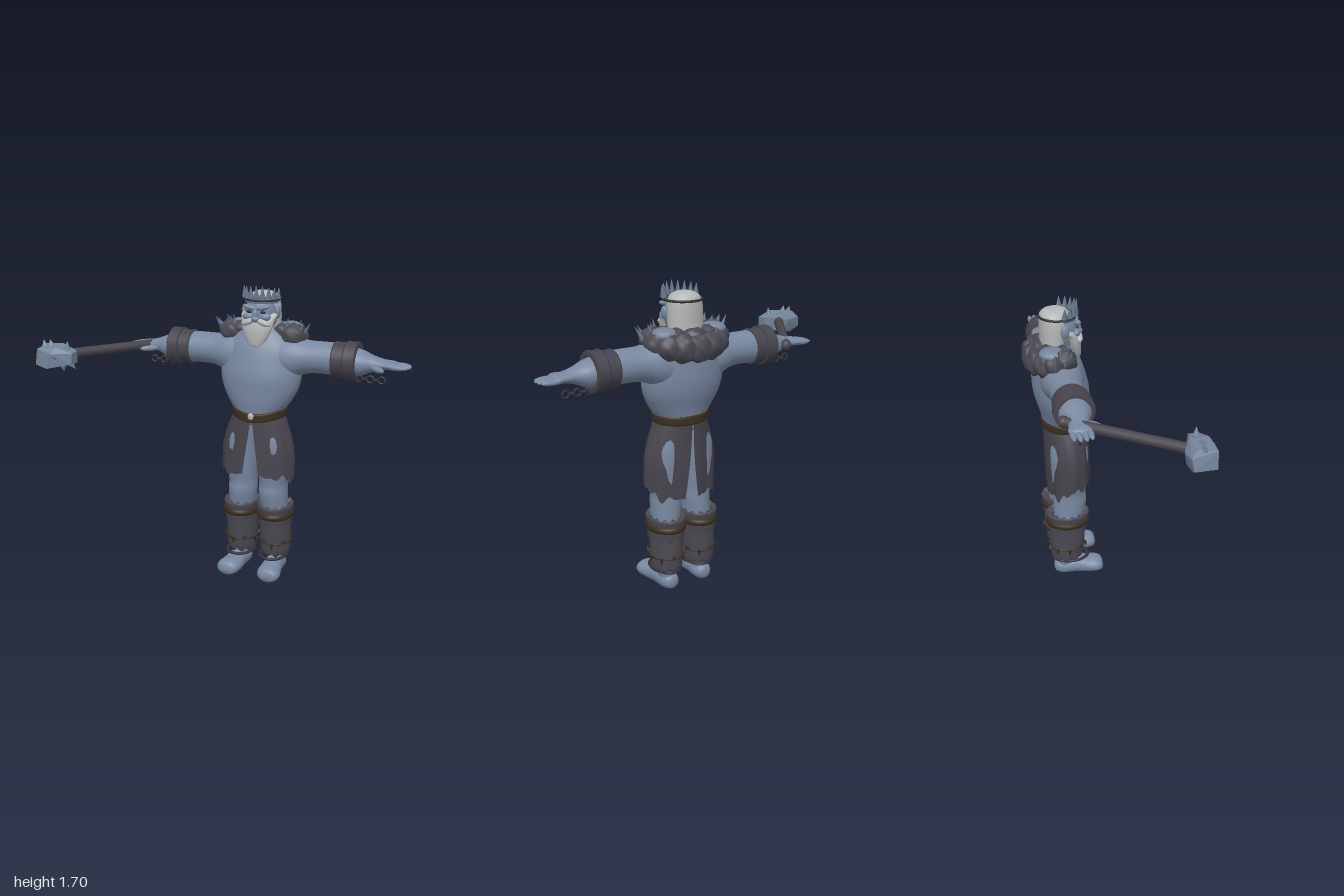
import * as THREE from 'three';
import { ConvexGeometry } from 'three/addons/geometries/ConvexGeometry.js';

const mat = (name, color, side = THREE.FrontSide) => {
  const m = new THREE.MeshStandardMaterial({ color, side });
  m.name = name;
  return m;
};
const V = (x, y, z) => new THREE.Vector3(x, y, z);

// Surface grid from fn(u, v); wrap joins the last column to the first
function grid(nu, nv, fn, wrap) {
  const cols = wrap ? nu : nu + 1, pos = [], idx = [];
  for (let j = 0; j <= nv; j++)
    for (let i = 0; i < cols; i++) pos.push(...fn(i / nu, j / nv).toArray());
  for (let j = 0; j < nv; j++)
    for (let i = 0; i < nu; i++) {
      const a = j * cols + i, b = j * cols + ((i + 1) % cols);
      idx.push(a, a + cols, b, b, a + cols, b + cols);
    }
  const g = new THREE.BufferGeometry();
  g.setAttribute('position', new THREE.Float32BufferAttribute(pos, 3));
  g.setIndex(idx);
  g.computeVertexNormals();
  return g;
}

// Smooth loft through ellipses [along, centreA, centreB, radiusA, radiusB], listed in ascending order
function loft(axis, rows, nu = 28, warp = null) {
  const c = new THREE.CatmullRomCurve3(rows.map(r => V(r[0], r[1], r[2])), false, 'catmullrom');
  const s = new THREE.CatmullRomCurve3(rows.map(r => V(r[3], r[4], 0)), false, 'catmullrom');
  return grid(nu, (rows.length - 1) * 4, (u, v) => {
    const a = u * Math.PI * 2, p = c.getPoint(v), r = s.getPoint(v), C = Math.cos(a), S = Math.sin(a);
    const q = axis === 'y' ? V(p.y + r.x * C, p.x, p.z + r.y * S)
      : axis === 'x' ? V(p.x, p.y + r.x * S, p.z + r.y * C)
      : V(p.y + r.x * S, p.z + r.y * C, p.x);
    if (warp) warp(q, a, v);
    return q;
  }, true);
}

export function createModel() {
  const skin = mat('skin', 0x7888a0), cloth = mat('dark cloth', 0x47444d, THREE.DoubleSide);
  const fur = mat('dark fur', 0x4a4952, THREE.DoubleSide), hairMat = mat('pale hair', 0xb4b6b5);
  const leather = mat('brown leather', 0x3b2e1e, THREE.DoubleSide), iron = mat('dark iron', 0x35333a);
  const stone = mat('blue grey stone', 0x74849a), horn = mat('grey spikes', 0x66758a, THREE.DoubleSide);
  stone.flatShading = true;

  const model = new THREE.Group();
  const body = new THREE.Group();
  body.name = 'giant';
  body.position.x = 0.16;
  model.add(body);
  const add = (parent, name, geo, material, pos) => {
    const m = new THREE.Mesh(geo, material);
    m.name = name;
    if (pos) m.position.set(...pos);
    parent.add(m);
    return m;
  };
  const ball = (parent, name, material, pos, scale) => {
    const m = add(parent, name, new THREE.SphereGeometry(1, 18, 12), material, pos);
    m.scale.set(...scale);
    return m;
  };
  // Tapered rod or spike from a to b
  const rod = (parent, name, material, a, b, r0, r1, sides = 12) => {
    const m = add(parent, name, new THREE.CylinderGeometry(r1, r0, a.distanceTo(b), sides), material);
    m.position.copy(a).lerp(b, 0.5);
    m.quaternion.setFromUnitVectors(V(0, 1, 0), b.clone().sub(a).normalize());
    return m;
  };

  // Torso
  add(body, 'torso', loft('y', [
    [0.90, 0, -0.155, 0, 0], [0.93, 0, -0.155, 0.13, 0.11], [1.0, 0, -0.155, 0.148, 0.128],
    [1.06, 0, -0.158, 0.187, 0.138], [1.13, 0, -0.168, 0.222, 0.15], [1.2, 0, -0.175, 0.236, 0.157],
    [1.28, 0, -0.185, 0.234, 0.15], [1.36, 0, -0.195, 0.222, 0.135], [1.42, 0, -0.2, 0.175, 0.11],
    [1.47, 0, -0.2, 0.1, 0.085], [1.5, 0, -0.19, 0, 0]], 40), skin);

  // Belt with a dip at the front, and its clasp
  add(body, 'belt', loft('y', [
    [0.965, 0, -0.155, 0.14, 0.12], [0.97, 0, -0.155, 0.156, 0.136], [0.99, 0, -0.155, 0.16, 0.138],
    [1.015, 0, -0.155, 0.158, 0.137], [1.02, 0, -0.155, 0.14, 0.12]], 40,
    (q, a) => { q.y -= 0.02 * Math.max(0, Math.sin(a)) ** 3; }), leather);
  ball(body, 'beltClasp', hairMat, [0, 0.985, -0.018], [0.018, 0.02, 0.012]);

  for (const side of [1, -1]) {
    const half = new THREE.Group();
    half.name = side > 0 ? 'leftSide' : 'rightSide';
    half.scale.x = side;
    body.add(half);

    // Arm, palm, fingers and thumb
    add(half, 'arm', loft('x', [
      [0.06, 1.29, -0.19, 0.13, 0.12], [0.18, 1.305, -0.19, 0.118, 0.115], [0.27, 1.315, -0.19, 0.092, 0.098],
      [0.36, 1.318, -0.19, 0.088, 0.092], [0.46, 1.315, -0.19, 0.088, 0.092], [0.57, 1.31, -0.19, 0.07, 0.083],
      [0.63, 1.31, -0.19, 0.046, 0.058], [0.69, 1.31, -0.193, 0.028, 0.054], [0.75, 1.31, -0.195, 0.02, 0.06],
      [0.775, 1.31, -0.195, 0, 0]]), skin);
    [-0.044, -0.015, 0.015, 0.044].forEach((dz, i) =>
      ball(half, 'finger', skin, [0.765 + [0, 0.01, 0.012, 0][i], 1.305, -0.195 + dz], [0.065, 0.014, 0.016]));
    const thumb = ball(half, 'thumb', skin, [0.675, 1.298, -0.112], [0.06, 0.017, 0.02]);
    thumb.rotation.y = -0.75;

    // Wrist shackle made of two bands
    [[0.42, 0.072, 0.1], [0.487, 0.068, 0.108]].forEach(([x, w, r]) => {
      const profile = [[r - 0.03, 0], [r - 0.004, 0], [r, 0.008], [r - 0.005, w / 2], [r, w - 0.008],
        [r - 0.004, w], [r - 0.03, w]].map(p => new THREE.Vector2(...p));
      const m = add(half, 'shackle', new THREE.LatheGeometry(profile, 32), cloth, [x, 1.315, -0.19]);
      m.rotation.z = -Math.PI / 2;
    });
    // Broken chain
    for (let i = 0; i < 5; i++) {
      const link = add(half, 'chainLink', new THREE.TorusGeometry(i % 2 ? 0.014 : 0.019, 0.005, 6, 12),
        iron, [0.56 + i * 0.0315, 1.222, -0.19]);
      link.rotation.x = i % 2 ? Math.PI / 2 : 0;
    }

    // Leg and foot
    add(half, 'leg', loft('y', [
      [0.06, 0.112, -0.19, 0.045, 0.045], [0.16, 0.11, -0.18, 0.06, 0.065], [0.3, 0.105, -0.17, 0.07, 0.08],
      [0.42, 0.1, -0.158, 0.078, 0.09], [0.51, 0.094, -0.15, 0.083, 0.098], [0.57, 0.094, -0.152, 0.083, 0.095],
      [0.66, 0.097, -0.15, 0.092, 0.105], [0.82, 0.095, -0.15, 0.095, 0.11], [0.95, 0.07, -0.155, 0.07, 0.1]]), skin);
    add(half, 'foot', loft('z', [
      [-0.256, 0.108, 0.05, 0, 0], [-0.245, 0.108, 0.05, 0.036, 0.035], [-0.2, 0.11, 0.052, 0.055, 0.051],
      [-0.12, 0.114, 0.056, 0.056, 0.056], [-0.05, 0.12, 0.05, 0.066, 0.049], [0, 0.126, 0.05, 0.068, 0.046],
      [0.032, 0.127, 0.047, 0.05, 0.034], [0.043, 0.127, 0.045, 0, 0]]), skin);

    // Fur leg wraps: calf, shaggy upper layer, straps and teeth
    add(half, 'calfWrap', loft('y', [
      [0.12, 0.108, -0.175, 0.075, 0.08], [0.14, 0.106, -0.175, 0.086, 0.092], [0.22, 0.105, -0.172, 0.09, 0.102],
      [0.32, 0.103, -0.168, 0.09, 0.106], [0.4, 0.103, -0.165, 0.09, 0.108]], 36,
      (q, a, v) => { q.y += (1 - v) ** 4 * 0.012 * Math.sin(a * 9); }), fur);
    add(half, 'shaggyCuff', loft('y', [
      [0.315, 0.104, -0.167, 0.097, 0.113], [0.36, 0.104, -0.166, 0.1, 0.12], [0.39, 0.104, -0.165, 0.098, 0.118],
      [0.425, 0.104, -0.165, 0.104, 0.126], [0.438, 0.104, -0.165, 0.098, 0.118], [0.425, 0.104, -0.165, 0.08, 0.09]], 48,
      (q, a, v) => { q.y += 0.014 * Math.sin(a * 12) * (2 * v - 1) ** 2; }), fur);
    const ring = (name, y, rx, rz, tube, cz, tall, material) => {
      const m = add(half, name, new THREE.TorusGeometry(1, tube / rx, 8, 36), material, [0.104, y, cz]);
      m.rotation.x = Math.PI / 2;
      m.scale.set(rx, rz, rx * tall);
    };
    ring('kneeStrap', 0.378, 0.098, 0.117, 0.011, -0.165, 1.8, leather);
    ring('toothCord', 0.205, 0.092, 0.103, 0.005, -0.172, 1, leather);
    ring('ankleRing', 0.118, 0.078, 0.105, 0.008, -0.153, 1, iron);
    for (let i = 0; i < 9; i++) {
      const a = i / 9 * Math.PI * 2, p = V(0.104 + 0.095 * Math.cos(a), 0.21, -0.172 + 0.106 * Math.sin(a));
      rod(half, 'cordTooth', leather, p, p.clone().add(V(0.01 * Math.cos(a), -0.035 + 0.06 * (i % 2), 0.01 * Math.sin(a))), 0.012, 0.001, 5);
    }

    // Torn skirt panel, open at front and back
    add(half, 'skirtPanel', grid(44, 14, (u, v) => {
      const a0 = 0.02 + 0.2 * v, a1 = Math.PI - 0.03 - 0.16 * v ** 2, a = a0 + (a1 - a0) * u;
      const tooth = 0.024 * Math.abs(((u * 7.3) % 1) * 2 - 1) + 0.012 * Math.sin(u * 31);
      const hem = 0.615 - 0.075 * THREE.MathUtils.smoothstep(u, 0.45, 0.8) + tooth;
      const bulge = Math.sin(Math.min(1, v * 1.35) * Math.PI / 2), fold = 1 + 0.02 * v * Math.sin(a * 9);
      return V((0.145 + 0.073 * bulge) * fold * Math.sin(a), 0.985 + (hem - 0.985) * v,
        -0.155 + 0.012 * v + 0.128 * fold * Math.cos(a));
    }), cloth);

    // Shoulder spikes
    for (let i = 0; i < 5; i++) {
      const p = V(0.15 + 0.022 * i, 1.455 - 0.006 * i, -0.16 - 0.025 * (i % 3));
      rod(half, 'shoulderSpike', horn, p, p.clone().add(V(0.012 + 0.008 * i, 0.075 - 0.008 * (i % 2), 0.01)), 0.015, 0.001, 6);
    }
    // Pale tuft lying on the collar
    ball(half, 'collarTuft', stone, [0.15, 1.462, -0.24], [0.07, 0.035, 0.07]);

    // Facial features
    ball(half, 'brow', skin, [0.038, 1.586, -0.083], [0.042, 0.014, 0.02]).rotation.z = 0.2;
    ball(half, 'eye', iron, [0.04, 1.562, -0.083], [0.017, 0.009, 0.006]);
    ball(half, 'cheek', skin, [0.048, 1.535, -0.092], [0.034, 0.022, 0.024]);
    ball(half, 'ear', skin, [0.098, 1.555, -0.16], [0.014, 0.035, 0.024]);
    ball(half, 'moustache', hairMat, [0.042, 1.507, -0.075], [0.045, 0.018, 0.02]).rotation.z = -0.35;
  }

  // Head, nose, hair and beard
  ball(body, 'head', skin, [0, 1.54, -0.17], [0.092, 0.12, 0.095]);
  ball(body, 'nose', skin, [0, 1.545, -0.073], [0.017, 0.034, 0.018]);
  ball(body, 'noseTip', skin, [0, 1.525, -0.068], [0.024, 0.018, 0.02]);
  add(body, 'hair', loft('y', [
    [1.4, 0, -0.215, 0, 0], [1.41, 0, -0.215, 0.09, 0.066], [1.5, 0, -0.208, 0.1, 0.076], [1.59, 0, -0.203, 0.097, 0.082],
    [1.635, 0, -0.2, 0.084, 0.08], [1.66, 0, -0.2, 0.048, 0.05], [1.667, 0, -0.2, 0, 0]]), hairMat);
  add(body, 'beard', loft('y', [
    [1.365, 0, -0.08, 0, 0], [1.375, 0, -0.083, 0.035, 0.02], [1.42, 0, -0.09, 0.065, 0.032],
    [1.47, 0, -0.1, 0.086, 0.04], [1.515, 0, -0.115, 0.096, 0.042], [1.55, 0, -0.14, 0.098, 0.03], [1.565, 0, -0.15, 0, 0]]), hairMat);

  // Crown: thin hoop, front band and a row of spikes
  const hoop = add(body, 'crownHoop', new THREE.TorusGeometry(0.099, 0.007, 8, 36), iron, [0, 1.622, -0.185]);
  hoop.rotation.x = Math.PI / 2;
  add(body, 'crownBand', new THREE.CylinderGeometry(0.104, 0.1, 0.04, 24, 1, true, -1.35, 2.7), horn, [0, 1.625, -0.185]);
  for (let i = 0; i < 9; i++) {
    const a = (i - 4) * 0.33, h = 0.072 - 0.005 * Math.abs(i - 4) * 0.8;
    const d = V(Math.sin(a), 0, Math.cos(a)), p = V(0, 1.632, -0.185).addScaledVector(d, 0.1);
    rod(body, 'crownSpike', horn, p, p.clone().addScaledVector(d, 0.006).add(V(0, h, 0)), 0.017, 0.002, 6);
  }

  // Fur collar: lumps in an arc around the back of the neck
  const lump = (pos, r, k) => {
    const g = new THREE.SphereGeometry(1, 20, 14), p = g.attributes.position;
    for (let i = 0; i < p.count; i++) {
      const v = V(0, 0, 0).fromBufferAttribute(p, i);
      v.multiplyScalar(1 + 0.08 * Math.sin(v.x * 6 + k) * Math.sin(v.y * 5 + k * 2) + 0.05 * Math.sin(v.z * 9 + k));
      p.setXYZ(i, v.x, v.y, v.z);
    }
    g.computeVertexNormals();
    add(body, 'furCollar', g, fur, pos).scale.set(...r);
  };
  for (let i = 0; i < 9; i++) {
    const a = (i - 4) * 0.44;
    lump([0.185 * Math.sin(a), 1.425 - 0.035 * Math.cos(a), -0.2 - 0.125 * Math.cos(a)],
      [0.072, 0.065 + 0.012 * Math.cos(a), 0.062], i * 1.7);
    if (i % 2 === 0) lump([0.125 * Math.sin(a), 1.45, -0.2 - 0.09 * Math.cos(a)], [0.065, 0.04, 0.055], i + 0.5);
  }

  // Club: shaft, end knob, rough stone head and its spikes
  const club = new THREE.Group();
  club.name = 'club';
  model.add(club);
  rod(club, 'clubShaft', cloth, V(-0.47, 1.31, -0.265), V(-0.86, 1.31, 0.28), 0.027, 0.028, 16);
  ball(club, 'clubKnob', cloth, [-0.472, 1.31, -0.262], [0.031, 0.031, 0.031]);
  add(club, 'clubHead', new ConvexGeometry([
    [-1, 1.27, 0.25], [-0.98, 1.26, 0.37], [-0.985, 1.33, 0.24], [-0.96, 1.365, 0.27], [-0.965, 1.35, 0.37],
    [-0.9, 1.245, 0.385], [-0.94, 1.235, 0.26], [-0.86, 1.37, 0.26], [-0.85, 1.365, 0.36], [-0.76, 1.34, 0.285],
    [-0.755, 1.335, 0.345], [-0.76, 1.275, 0.285], [-0.76, 1.275, 0.35], [-0.87, 1.24, 0.25], [-0.87, 1.33, 0.385],
    [-0.9, 1.32, 0.23]].map(p => V(...p))), stone);
  for (const [a, b] of [
    [[-0.91, 1.35, 0.305], [-0.92, 1.395, 0.305]], [[-0.81, 1.335, 0.31], [-0.8, 1.395, 0.312]],
    [[-0.95, 1.34, 0.31], [-0.965, 1.39, 0.3]], [[-0.84, 1.265, 0.31], [-0.835, 1.222, 0.31]],
    [[-0.85, 1.31, 0.36], [-0.85, 1.325, 0.392]], [[-0.8, 1.28, 0.31], [-0.765, 1.24, 0.3]]])
    rod(club, 'clubSpike', stone, V(...a), V(...b), 0.025, 0.001, 6);

  return model;
}
